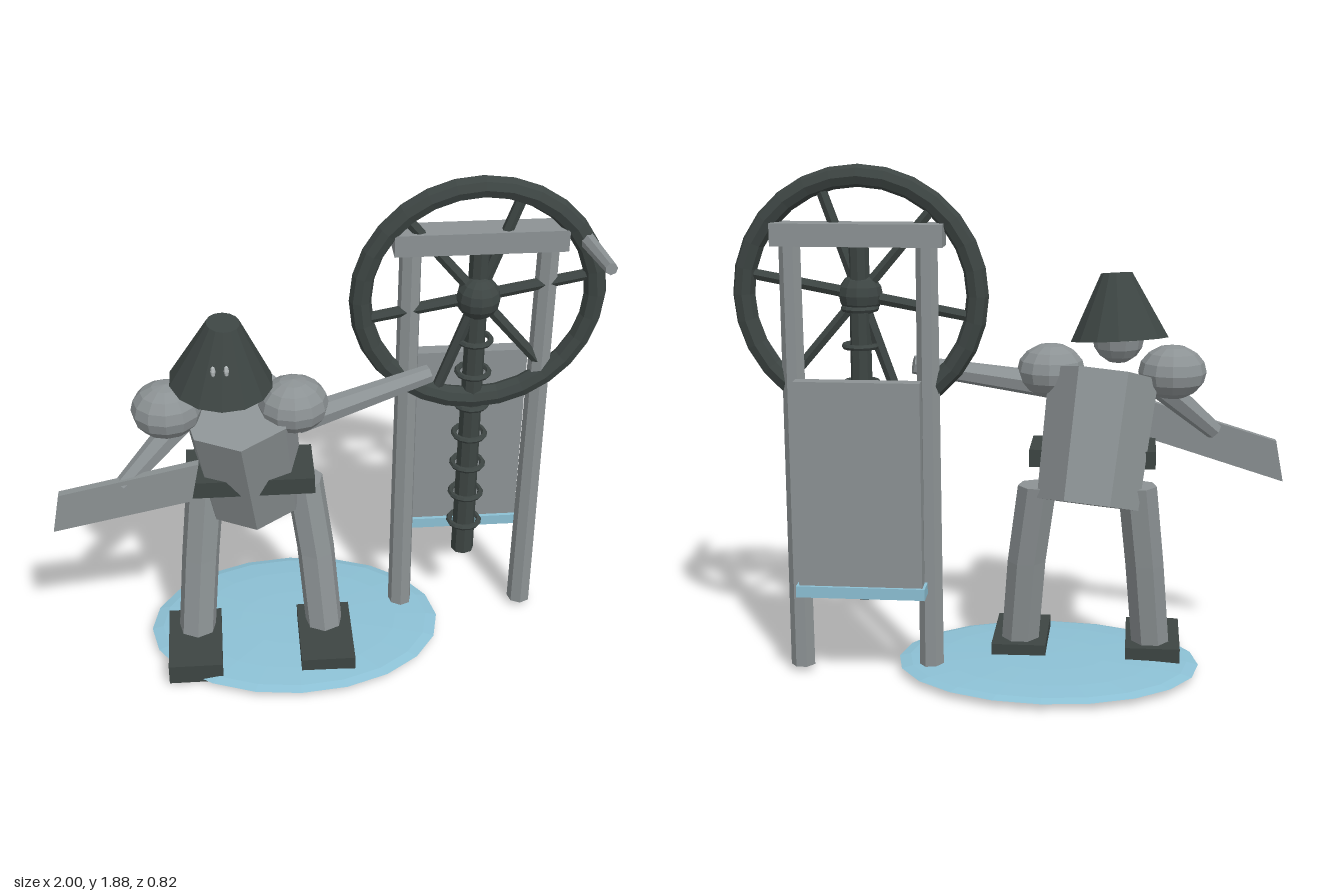
import * as THREE from 'three';

const mat = (name, color) => {
  const m = new THREE.MeshStandardMaterial({ color });
  m.name = name;
  return m;
};

export function createModel() {
  const grey = mat('weathered grey', 0x8c9294);
  const dark = mat('dark iron', 0x3d4543);
  const blue = mat('pale blue', 0x8cc0d4);
  const pale = mat('eye grey', 0xb4babb);
  const root = new THREE.Group();
  const worker = new THREE.Group(), machine = new THREE.Group();
  worker.name = 'worker';
  machine.name = 'wheelMachine';
  root.add(worker, machine);

  // Adds a faceted mesh
  const add = (parent, name, geo, material, pos = [0, 0, 0]) => {
    const flat = geo.index ? geo.toNonIndexed() : geo;
    flat.computeVertexNormals();
    const mesh = new THREE.Mesh(flat, material);
    mesh.name = name;
    mesh.position.set(...pos);
    parent.add(mesh);
    return mesh;
  };
  const box = (parent, name, material, [x0, x1], [y0, y1], [z0, z1]) =>
    add(parent, name, new THREE.BoxGeometry(x1 - x0, y1 - y0, z1 - z0), material,
      [(x0 + x1) / 2, (y0 + y1) / 2, (z0 + z1) / 2]);
  // Tapered rod between two points
  const rod = (parent, name, material, a, b, ra, rb, sides = 7) => {
    const p = new THREE.Vector3(...a), q = new THREE.Vector3(...b);
    const dir = q.clone().sub(p);
    const mesh = add(parent, name, new THREE.CylinderGeometry(rb, ra, dir.length(), sides), material);
    mesh.position.copy(p).add(q).multiplyScalar(0.5);
    mesh.quaternion.setFromUnitVectors(new THREE.Vector3(0, 1, 0), dir.normalize());
    return mesh;
  };
  const ball = (parent, name, material, pos, r, w = 12, h = 8) =>
    add(parent, name, new THREE.SphereGeometry(1, w, h).scale(...r), material, pos);

  // Ground disc
  ball(root, 'groundDisc', blue, [-0.13, 0.033, 0], [0.565, 0.027, 0.41], 20, 8);

  // Legs: level rings moved along hip, knee and ankle
  const leg = (name, hip, knee, ankle) => {
    const geo = new THREE.CylinderGeometry(0.073, 0.072, 2, 7, 2);
    const p = geo.attributes.position;
    for (let i = 0; i < p.count; i++) {
      const c = [ankle, knee, hip][Math.round(p.getY(i)) + 1];
      p.setXYZ(i, p.getX(i) + c[0], c[1], p.getZ(i) + c[2]);
    }
    add(worker, name, geo, grey);
  };
  leg('leftLeg', [-0.09, 0.725, -0.015], [-0.048, 0.42, 0.025], [-0.02, 0.08, 0.075]);
  leg('rightLeg', [-0.455, 0.73, -0.015], [-0.487, 0.42, 0.025], [-0.515, 0.08, 0.075]);
  for (const [name, x] of [['leftBoot', -0.02], ['rightBoot', -0.523]])
    box(worker, name, dark, [x - 0.102, x + 0.102], [0.02, 0.1], [-0.025, 0.305]);

  // Leaning torso and belt
  rod(worker, 'torso', grey, [-0.275, 0.66, -0.04], [-0.325, 1.12, 0.1], 0.19, 0.205, 7);
  box(worker, 'belt', dark, [-0.52, -0.06], [0.795, 0.86], [-0.03, 0.19]);

  // Shoulders and arms
  ball(worker, 'leftShoulder', grey, [-0.13, 1.13, 0.11], [0.125, 0.1, 0.12]);
  ball(worker, 'rightShoulder', grey, [-0.575, 1.13, 0.11], [0.125, 0.1, 0.12]);
  rod(worker, 'leftArm', grey, [-0.12, 1.07, 0.13], [0.365, 1.163, 0], 0.05, 0.034);
  rod(worker, 'rightArm', grey, [-0.53, 1.08, 0.12], [-0.74, 0.885, 0.22], 0.052, 0.034);

  // Slanted blade
  const shear = new THREE.Matrix4().makeBasis(
    new THREE.Vector3(0.5, 0.143, 0.05),
    new THREE.Vector3(0.03, 0.155, 0),
    new THREE.Vector3(0, 0, 0.03));
  add(worker, 'blade', new THREE.BoxGeometry(1, 1, 1).applyMatrix4(shear), grey, [-0.735, 0.849, 0.232]);

  // Head, cone helmet and eyes
  ball(worker, 'head', grey, [-0.375, 1.25, 0.135], [0.095, 0.095, 0.095], 10, 8);
  rod(worker, 'helmet', dark, [-0.38, 1.247, 0.122], [-0.365, 1.487, 0.15], 0.182, 0.058, 14);
  for (const x of [-0.405, -0.36])
    ball(worker, 'eye', pale, [x, 1.36, 0.256], [0.009, 0.022, 0.009], 6, 4);

  // Posts and crossbeam
  for (const [name, x] of [['leftPost', 0.785], ['rightPost', 0.297]])
    rod(machine, name, grey, [x, 0.03, -0.095], [x, 1.62, -0.095], 0.046, 0.04, 7);
  box(machine, 'crossbeam', grey, [0.235, 0.845], [1.605, 1.685], [-0.155, -0.05]);

  // Hanging panel and ledge
  box(machine, 'panel', grey, [0.31, 0.76], [0.385, 1.14], [-0.235, -0.182]);
  box(machine, 'panelLedge', blue, [0.3, 0.77], [0.345, 0.387], [-0.247, -0.168]);

  // Ringed shaft
  rod(machine, 'shaft', dark, [0.54, 0.3, -0.09], [0.54, 1.61, -0.09], 0.044, 0.036, 8);
  for (let i = 0; i < 8; i++)
    add(machine, 'shaftRing', new THREE.TorusGeometry(0.058, 0.011, 6, 14).rotateX(Math.PI / 2),
      dark, [0.54, 0.437 + i * 0.135, -0.09]);

  // Spoked wheel with crank handle
  const wheel = new THREE.Group();
  wheel.name = 'wheel';
  wheel.position.set(0.54, 1.428, -0.08);
  machine.add(wheel);
  add(wheel, 'rim', new THREE.TorusGeometry(0.42, 0.04, 8, 28), dark);
  ball(wheel, 'hub', dark, [0, 0, 0.01], [0.08, 0.08, 0.08]);
  for (let i = 0; i < 6; i++) {
    const a = (10.5 + i * 60) * Math.PI / 180;
    rod(wheel, 'spoke', dark, [0, 0, 0], [Math.cos(a) * 0.41, Math.sin(a) * 0.41, 0], 0.022, 0.02, 6);
  }
  rod(wheel, 'crankHandle', grey, [0.37, 0.212, 0.02], [0.393, 0.227, 0.268], 0.029, 0.022, 7);

  return root;
}
